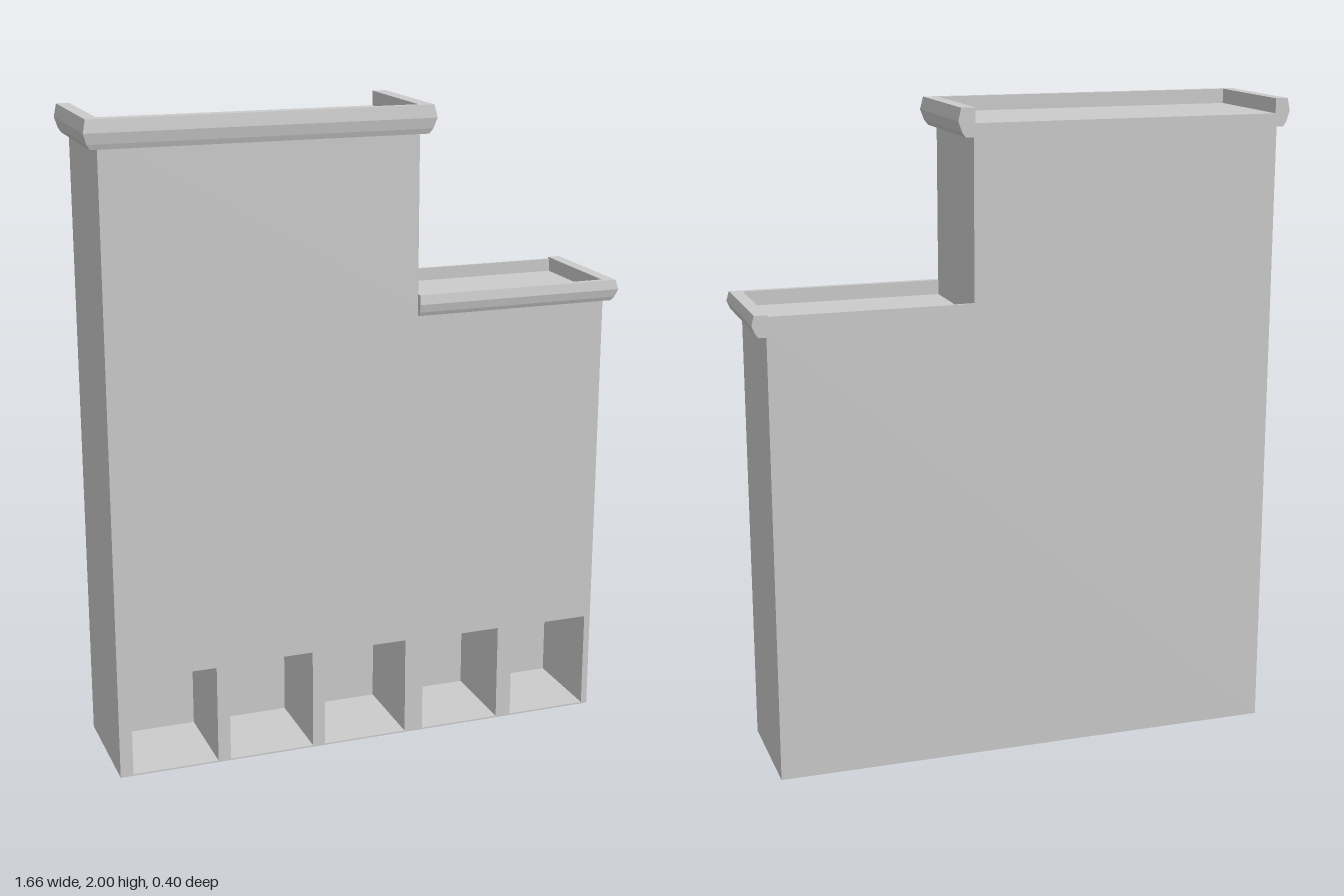
import * as THREE from 'three';

const material = new THREE.MeshStandardMaterial({ color: 0xcccccc, flatShading: true });

const LEFT = -0.79, STEP = 0.17, RIGHT = 0.79;   // wall lines in x
const BACK = -0.2, FRONT = 0.18, NICHE_BACK = -0.11;
const TALL_ROOF = 1.955, LOW_ROOF = 1.39;

function addMesh(group, geometry, name) {
  const mesh = new THREE.Mesh(geometry, material);
  mesh.name = name;
  group.add(mesh);
  return mesh;
}

// Stepped outline of the building
function outline() {
  return new THREE.Shape([
    [LEFT, 0], [RIGHT, 0], [RIGHT, LOW_ROOF], [STEP, LOW_ROOF], [STEP, TALL_ROOF], [LEFT, TALL_ROOF],
  ].map(([x, y]) => new THREE.Vector2(x, y)));
}

function slab(shape, z0, z1) {
  return new THREE.ExtrudeGeometry(shape, { depth: z1 - z0, bevelEnabled: false }).translate(0, 0, z0);
}

// Sweeps a closed profile of [outward, y] along stations of [x, z, outX, outZ], with mitred corners
function sweep(profile, stations) {
  const rings = stations.map(([x, z, ox, oz]) => profile.map(([o, y]) => [x + ox * o, y, z + oz * o]));
  const n = profile.length, pos = [];
  const tri = (a, b, c) => pos.push(...a, ...b, ...c);
  for (let s = 0; s < rings.length - 1; s++) {
    for (let i = 0; i < n; i++) {
      const j = (i + 1) % n;
      tri(rings[s][i], rings[s][j], rings[s + 1][i]);
      tri(rings[s][j], rings[s + 1][j], rings[s + 1][i]);
    }
  }
  const first = rings[0], last = rings[rings.length - 1];
  for (let i = 1; i < n - 1; i++) {
    tri(first[0], first[i + 1], first[i]);
    tri(last[0], last[i], last[i + 1]);
  }
  const geometry = new THREE.BufferGeometry();
  geometry.setAttribute('position', new THREE.Float32BufferAttribute(pos, 3));
  geometry.computeVertexNormals();
  return geometry;
}

// Bulging cornice section that also forms the parapet
function corniceProfile(bottom, top) {
  const h = top - bottom;
  return [
    [-0.005, top], [0.034, top], [0.042, bottom + h * 0.55],
    [0.032, bottom + h * 0.18], [0.022, bottom], [-0.005, bottom],
  ].map(([o, y]) => [Math.min(o, 0.042), y]);
}

export function createModel() {
  const model = new THREE.Group();
  model.name = 'building';

  // Front block with five ground-floor openings
  const front = outline();
  const niches = [[-0.75, -0.48, 0.317], [-0.44, -0.17, 0.322], [-0.13, 0.14, 0.318], [0.2, 0.46, 0.314], [0.51, 0.77, 0.312]];
  for (const [x0, x1, top] of niches) {
    front.holes.push(new THREE.Path([
      new THREE.Vector2(x0, 0.005), new THREE.Vector2(x0, top),
      new THREE.Vector2(x1, top), new THREE.Vector2(x1, 0.005),
    ]));
  }
  addMesh(model, slab(front, NICHE_BACK, FRONT), 'frontBlock');

  // Solid rear block closing the openings
  addMesh(model, slab(outline(), BACK, NICHE_BACK), 'rearBlock');

  // Cornices run round the front and the open sides
  addMesh(model, sweep(corniceProfile(1.915, 2), [
    [LEFT, BACK, -1, 0], [LEFT, FRONT, -1, 0.5], [STEP, FRONT, 1.1, 0.5], [STEP, BACK, 1.1, 0],
  ]), 'tallCornice');
  addMesh(model, sweep(corniceProfile(1.37, 1.435), [
    [STEP, FRONT, 0, 0.5], [RIGHT, FRONT, 1, 0.5], [RIGHT, BACK, 1, 0],
  ]), 'lowCornice');

  // Thin rim along the back of the low roof
  const rim = addMesh(model, new THREE.BoxGeometry(RIGHT - STEP, 1.43 - LOW_ROOF, 0.008), 'lowBackRim');
  rim.position.set((STEP + RIGHT) / 2, (1.43 + LOW_ROOF) / 2, BACK + 0.004);

  return model;
}
